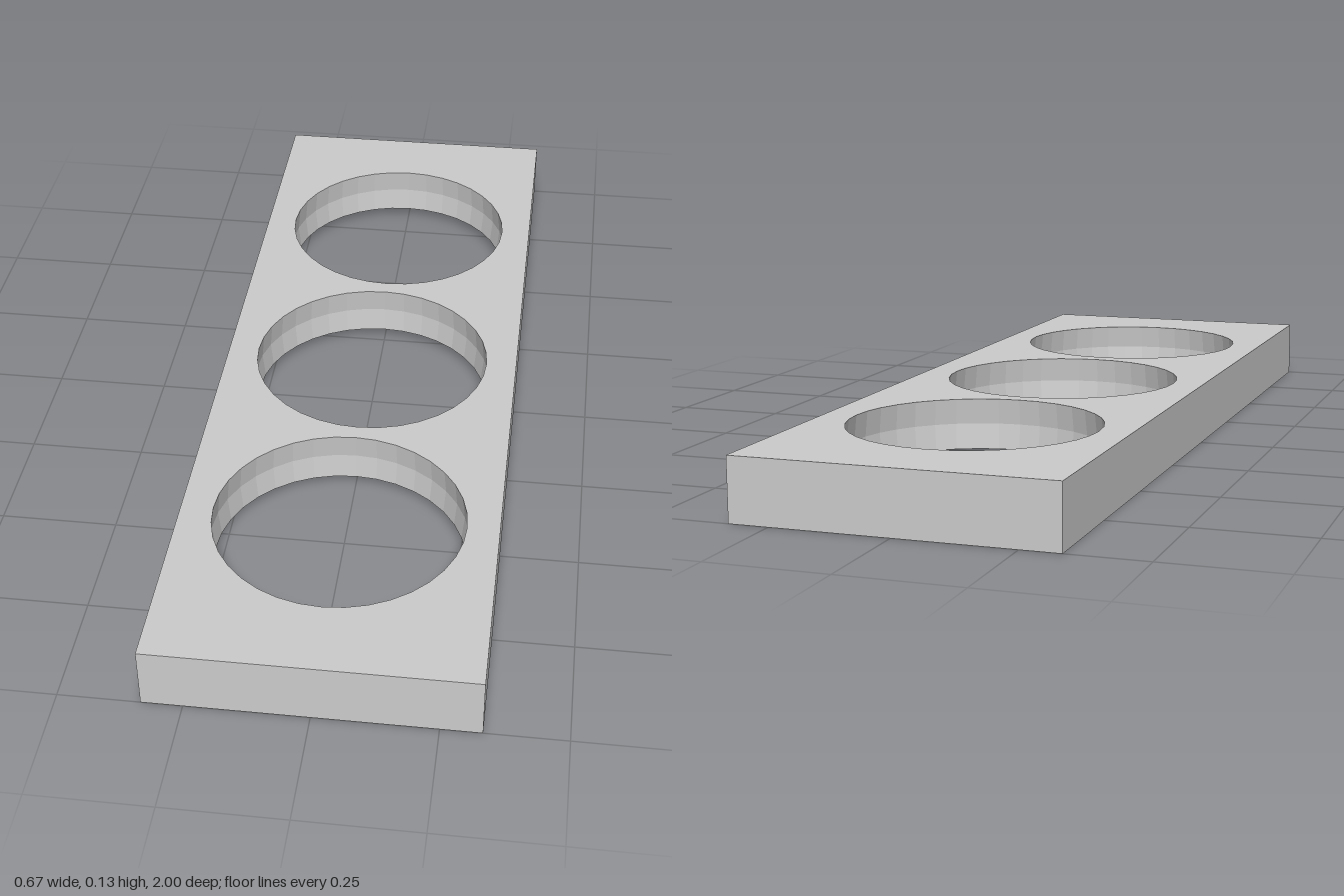
import * as THREE from 'three';

const W = 0.667, L = 2, H = 0.133;       // overall size
const LIP = 0.022, INSET = 0.053;        // recess under the plate
const R = 0.265, SPACING = 0.567;        // round openings
const BULGE = 0.006;                     // bores widen slightly at mid height

function trace(path, w, l) {
  path.moveTo(-w / 2, -l / 2);
  path.lineTo(w / 2, -l / 2);
  path.lineTo(w / 2, l / 2);
  path.lineTo(-w / 2, l / 2);
  path.closePath();
  return path;
}

export function createModel() {
  const group = new THREE.Group();
  const material = new THREE.MeshStandardMaterial({ color: 0xcccccc, flatShading: true });
  const centres = [-SPACING, 0, SPACING];

  // Plate with three round openings
  const plateShape = trace(new THREE.Shape(), W, L);
  for (const c of centres) plateShape.holes.push(new THREE.Path().absarc(0, c, R, 0, Math.PI * 2, true));
  const depth = H - LIP;
  const plateGeo = new THREE.ExtrudeGeometry(plateShape, { depth, steps: 2, curveSegments: 18, bevelEnabled: false });

  // Push the middle ring of each bore outward
  const p = plateGeo.attributes.position;
  for (let i = 0; i < p.count; i++) {
    if (Math.abs(p.getZ(i) - depth / 2) > 1e-4) continue;
    for (const c of centres) {
      const x = p.getX(i), y = p.getY(i) - c;
      if (Math.abs(Math.hypot(x, y) - R) > 1e-4) continue;
      const k = (R + BULGE) / R;
      p.setXY(i, x * k, c + y * k);
      break;
    }
  }
  plateGeo.computeVertexNormals();
  plateGeo.rotateX(-Math.PI / 2).translate(0, LIP, 0);
  const plate = new THREE.Mesh(plateGeo, material);
  plate.name = 'plate';

  // Shallow rim around the underside
  const rimShape = trace(new THREE.Shape(), W, L);
  rimShape.holes.push(trace(new THREE.Path(), W - 2 * INSET, L - 2 * INSET));
  const rimGeo = new THREE.ExtrudeGeometry(rimShape, { depth: LIP, bevelEnabled: false });
  rimGeo.rotateX(-Math.PI / 2);
  const rim = new THREE.Mesh(rimGeo, material);
  rim.name = 'undersideRim';

  group.add(plate, rim);
  return group;
}
